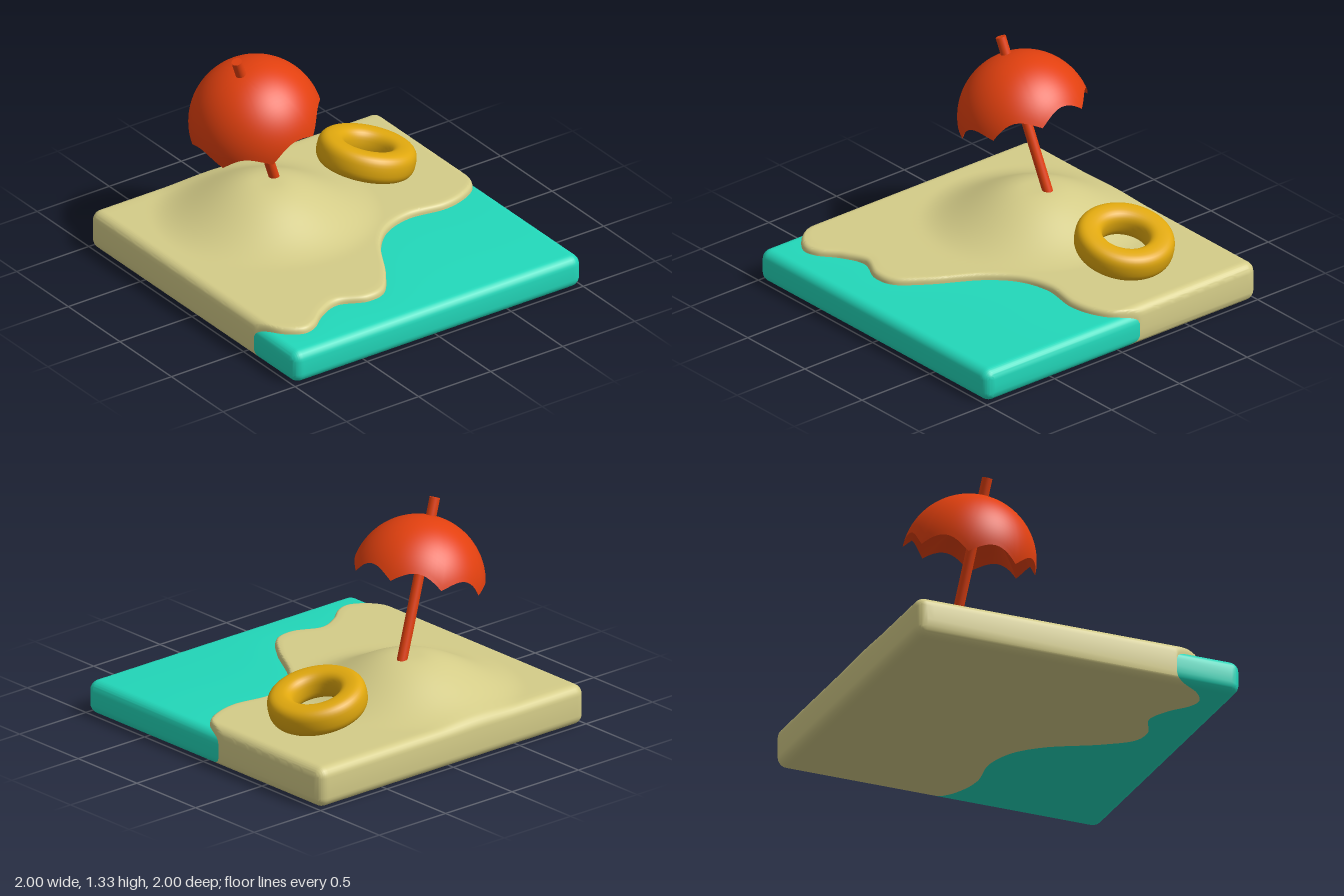
import * as THREE from 'three';
import { toCreasedNormals } from 'three/addons/utils/BufferGeometryUtils.js';

const V = (x, y, z) => new THREE.Vector3(x, y, z);

function part(name, geometry, color) {
  const mesh = new THREE.Mesh(geometry, new THREE.MeshStandardMaterial({ color }));
  mesh.name = name;
  return mesh;
}

// Skin a list of equally long rows of points
function loft(rows) {
  const n = rows[0].length, index = [];
  for (let i = 0; i < rows.length - 1; i++) {
    for (let j = 0; j < n - 1; j++) {
      const a = i * n + j, b = a + 1, c = a + n, d = c + 1;
      index.push(a, b, c, b, d, c);
    }
  }
  const geo = new THREE.BufferGeometry().setFromPoints(rows.flat());
  geo.setIndex(index);
  return toCreasedNormals(geo, 0.6);
}

// Close a lofted slab by collapsing its end sections to a line
function capped(rows) {
  const flat = (row) => row.map((p) => V(p.x, 0.1, p.z));
  return loft([flat(rows[0]), ...rows, flat(rows[rows.length - 1])]);
}

function arc(cx, cy, r, a0, z, steps = 6) {
  return Array.from({ length: steps + 1 }, (_, i) => {
    const a = a0 + (i / steps) * Math.PI / 2;
    return V(cx + r * Math.cos(a), cy + r * Math.sin(a), z);
  });
}

// Shoreline from back to front, as [x, z]
const shore = new THREE.CatmullRomCurve3([
  [-0.13, -1], [0.01, -0.94], [0.08, -0.83], [0.112, -0.68], [0.083, -0.45], [0.137, -0.265],
  [0.27, -0.12], [0.565, 0.056], [0.71, 0.18], [0.73, 0.3], [0.665, 0.47], [0.72, 0.61],
  [0.807, 0.727], [0.823, 0.807], [0.753, 0.914], [0.6, 1],
].map(([x, z]) => V(x, 0, z))).getSpacedPoints(240);

const EDGE = 0.06, SAND = 0.24, WATER = 0.2;

// Corner radius of the slab section, shrinking toward the front and back edges
function cornerRadius(z) {
  const over = Math.max(0, Math.abs(z) - (1 - EDGE));
  return Math.sqrt(Math.max(0, EDGE * EDGE - over * over));
}

// Smooth round mound
function dune(x, z) {
  return 0.205 * (1 - THREE.MathUtils.smoothstep(Math.hypot(x + 0.38, z - 0.21), 0.07, 0.66));
}

function sandSection({ x: xs, z }) {
  const q = cornerRadius(z), left = -1 + EDGE, top = SAND - EDGE + q, lip = 0.03;
  const upper = [];
  for (let i = 1; i < 36; i++) upper.push(V(THREE.MathUtils.lerp(xs - lip, left, i / 36), top, z));
  const crown = [
    ...arc(xs - lip, top - lip, lip, 0, z, 4), ...upper,
    ...arc(left, SAND - EDGE, q, Math.PI / 2, z),
  ];
  for (const p of crown) p.y += dune(p.x, z);
  const ring = [...arc(left, EDGE, q, Math.PI, z), V(xs, EDGE - q, z), ...crown];
  return [...ring, ring[0].clone()];
}

function waterSection({ x: xs, z }) {
  const q = cornerRadius(z), right = 1 - EDGE;
  const ring = [
    V(xs, EDGE - q, z), ...arc(right, EDGE, q, -Math.PI / 2, z),
    ...arc(right, WATER - EDGE, q, 0, z), V(xs, WATER - EDGE + q, z),
  ];
  return [...ring, ring[0].clone()];
}

// Scalloped dome with a lobed hollow underside
function canopyGeometry() {
  const R = 0.383, SEG = 96, rows = [];
  const scallop = (phi) => 0.07 * Math.abs(Math.sin(4 * (phi + Math.PI / 8)));
  const row = (fn) => Array.from({ length: SEG + 1 }, (_, j) => {
    const phi = (j / SEG) * Math.PI * 2 + Math.PI / 8;
    const [r, y] = fn(scallop(phi));
    return V(r * Math.sin(phi), y, r * Math.cos(phi));
  });
  for (let i = 0; i <= 12; i++) {
    const s = i / 12;
    rows.push(row((h) => [s * Math.sqrt(R * R - h * h), h * s + 0.22 * (1 - s * s)]));
  }
  for (let i = 1; i <= 20; i++) {
    rows.push(row((h) => {
      const theta = Math.acos(h / R) * (1 - i / 20);
      return [R * Math.sin(theta), R * Math.cos(theta)];
    }));
  }
  return loft(rows);
}

// Swim ring: lathe of a softly squared section
function ringGeometry() {
  const soft = (t) => Math.sign(t) * Math.pow(Math.abs(t), 0.75);
  const profile = [];
  for (let i = 0; i <= 32; i++) {
    const a = (i / 32) * Math.PI * 2;
    profile.push(new THREE.Vector2(0.208 + 0.078 * soft(Math.cos(a)), 0.086 * soft(Math.sin(a))));
  }
  return toCreasedNormals(new THREE.LatheGeometry(profile, 64), 0.7);
}

export function createModel() {
  const model = new THREE.Group();
  model.name = 'beachScene';

  model.add(part('sand', capped(shore.map(sandSection)), 0xd4cc88));
  model.add(part('water', capped(shore.map(waterSection)), 0x22d8ba));

  // Leaning parasol
  const parasol = new THREE.Group();
  parasol.name = 'parasol';
  parasol.position.set(-0.37, 0.865, 0.29);
  parasol.quaternion.setFromUnitVectors(V(0, 1, 0), V(0.09, 1, 0.36).normalize());
  const pole = part('pole', new THREE.CylinderGeometry(0.03, 0.03, 1.0, 24), 0xe2400f);
  pole.position.y = -0.015;
  parasol.add(part('canopy', canopyGeometry(), 0xe2400f), pole);
  model.add(parasol);

  // Swim ring resting against the dune
  const ring = part('swimRing', ringGeometry(), 0xe0a80e);
  ring.position.set(-0.425, 0.37, -0.515);
  ring.rotation.x = -THREE.MathUtils.degToRad(14);
  model.add(ring);

  return model;
}
